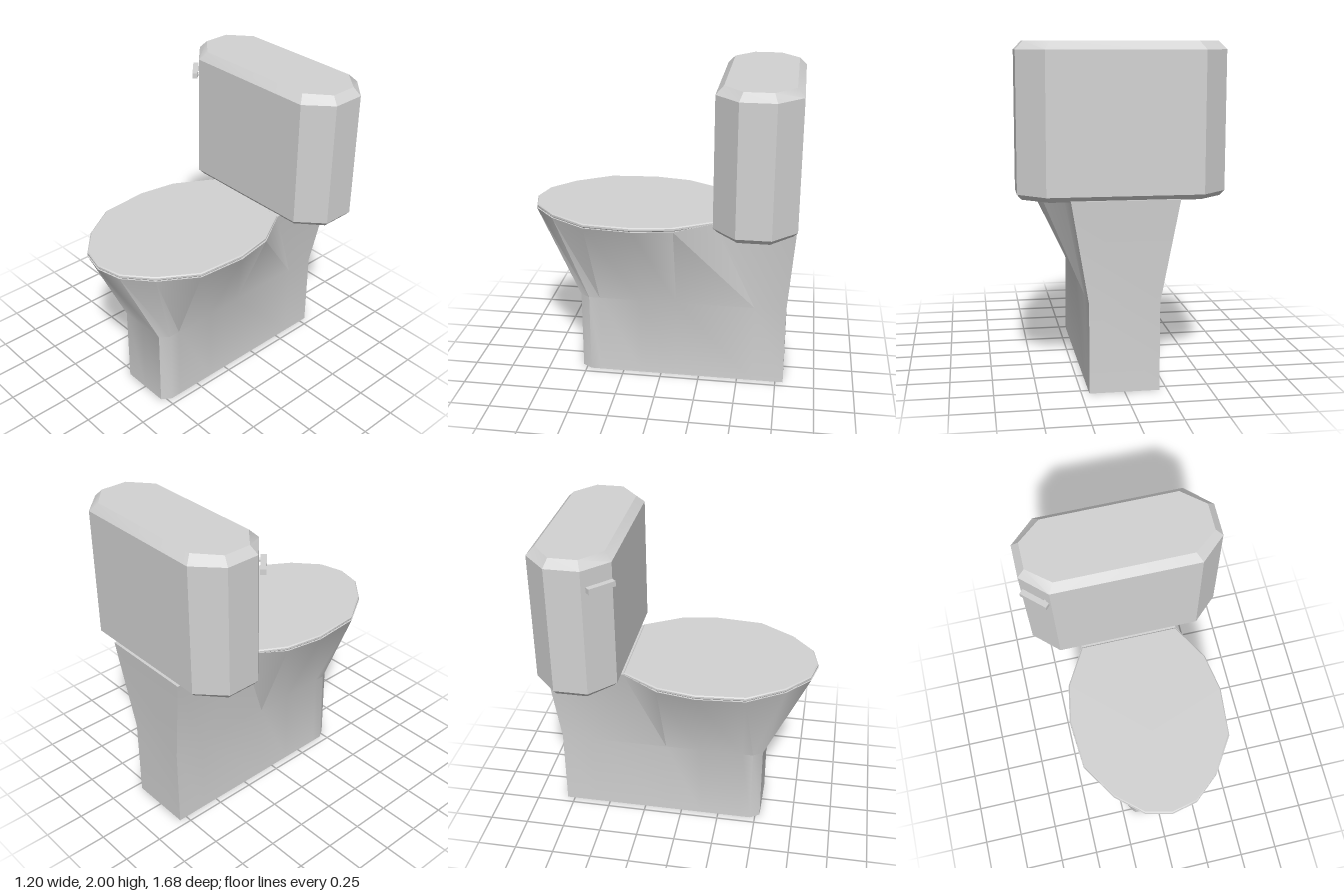
import * as THREE from 'three';
import { toCreasedNormals } from 'three/addons/utils/BufferGeometryUtils.js';

// Mirror a half outline ([x, z] from back to front on +x) into a closed ring at height y
function ring(half, y, inset = 0) {
  const right = half.map(([x, z]) => [x, z]);
  const left = half.filter(([x]) => x > 0).reverse().map(([x, z]) => [-x, z]);
  const all = [...right, ...left];
  const zs = half.map((p) => p[1]);
  const maxX = Math.max(...half.map((p) => p[0]));
  const minZ = Math.min(...zs), maxZ = Math.max(...zs), midZ = (minZ + maxZ) / 2;
  const sx = 1 - inset / maxX, sz = 1 - (2 * inset) / (maxZ - minZ);
  return all.map(([x, z]) => [x * sx, typeof y === 'function' ? y(z) : y, midZ + (z - midZ) * sz]);
}

// Skin a stack of rings and close both ends
function loft(rings, crease) {
  const n = rings[0].length, pos = rings.flat(2), index = [];
  for (let r = 0; r < rings.length - 1; r++) {
    for (let i = 0; i < n; i++) {
      const j = (i + 1) % n, a = r * n + i, b = r * n + j, c = b + n, d = a + n;
      index.push(a, d, c, a, c, b);
    }
  }
  [0, rings.length - 1].forEach((r) => {
    const centre = pos.length / 3;
    const mean = (k) => rings[r].reduce((s, p) => s + p[k], 0) / n;
    pos.push(mean(0), mean(1), mean(2));
    for (let i = 0; i < n; i++) {
      const a = r * n + i, b = r * n + ((i + 1) % n);
      index.push(centre, ...(r ? [b, a] : [a, b]));
    }
  });
  const geo = new THREE.BufferGeometry();
  geo.setAttribute('position', new THREE.Float32BufferAttribute(pos, 3));
  geo.setIndex(index);
  return toCreasedNormals(geo, crease);
}

export function createModel() {
  const model = new THREE.Group();
  const porcelain = new THREE.MeshStandardMaterial({ color: 0xd2d2d2 });
  porcelain.name = 'porcelain';
  const add = (name, geo, parent = model) => {
    const mesh = new THREE.Mesh(geo, porcelain);
    mesh.name = name;
    parent.add(mesh);
    return mesh;
  };

  // Pedestal outline and matching bowl rim with a neck under the tank
  const foot = [[0.205, -0.8], [0.205, -0.6], [0.205, -0.1], [0.205, 0.13],
    [0.205, 0.4], [0.205, 0.47], [0.165, 0.53], [0, 0.53]];
  const oval = [[0.31, -0.345], [0.445, -0.11], [0.487, 0.13], [0.462, 0.435],
    [0.32, 0.66], [0.16, 0.8], [0, 0.837]];
  const rim = [[0.31, -0.842], ...oval];
  add('bowlAndPedestal', loft([
    ring(foot, 0), ring(foot, 0.525), ring(rim, (z) => (z < -0.3 ? 1.125 : 1.11)),
  ], 0.6));

  // Thin closed lid
  add('lid', loft([ring(oval, 1.112, 0.008), ring(oval, 1.118, 0.003),
    ring(oval, 1.13, 0.003), ring(oval, 1.136, 0.01)], 0.5));

  // Tank with cut corners and bevelled top and bottom
  const tank = [[0.445, -0.845], [0.597, -0.7], [0.597, -0.49], [0.445, -0.347]];
  add('tank', loft([ring(tank, 1.12, 0.025), ring(tank, 1.15),
    ring(tank, 1.952), ring(tank, 2, 0.045)], 0.5));

  // Flush lever on the front right cut corner
  const lever = new THREE.Group();
  lever.name = 'flushLever';
  lever.position.set(-0.531, 1.836, -0.393);
  lever.rotation.y = -0.755;
  add('leverArm', new THREE.BoxGeometry(0.178, 0.034, 0.034), lever);
  const pivot = add('leverPivot', new THREE.CylinderGeometry(0.012, 0.012, 0.04, 8), lever);
  pivot.rotation.x = Math.PI / 2;
  pivot.position.set(0.055, 0, -0.025);
  model.add(lever);

  return model;
}
